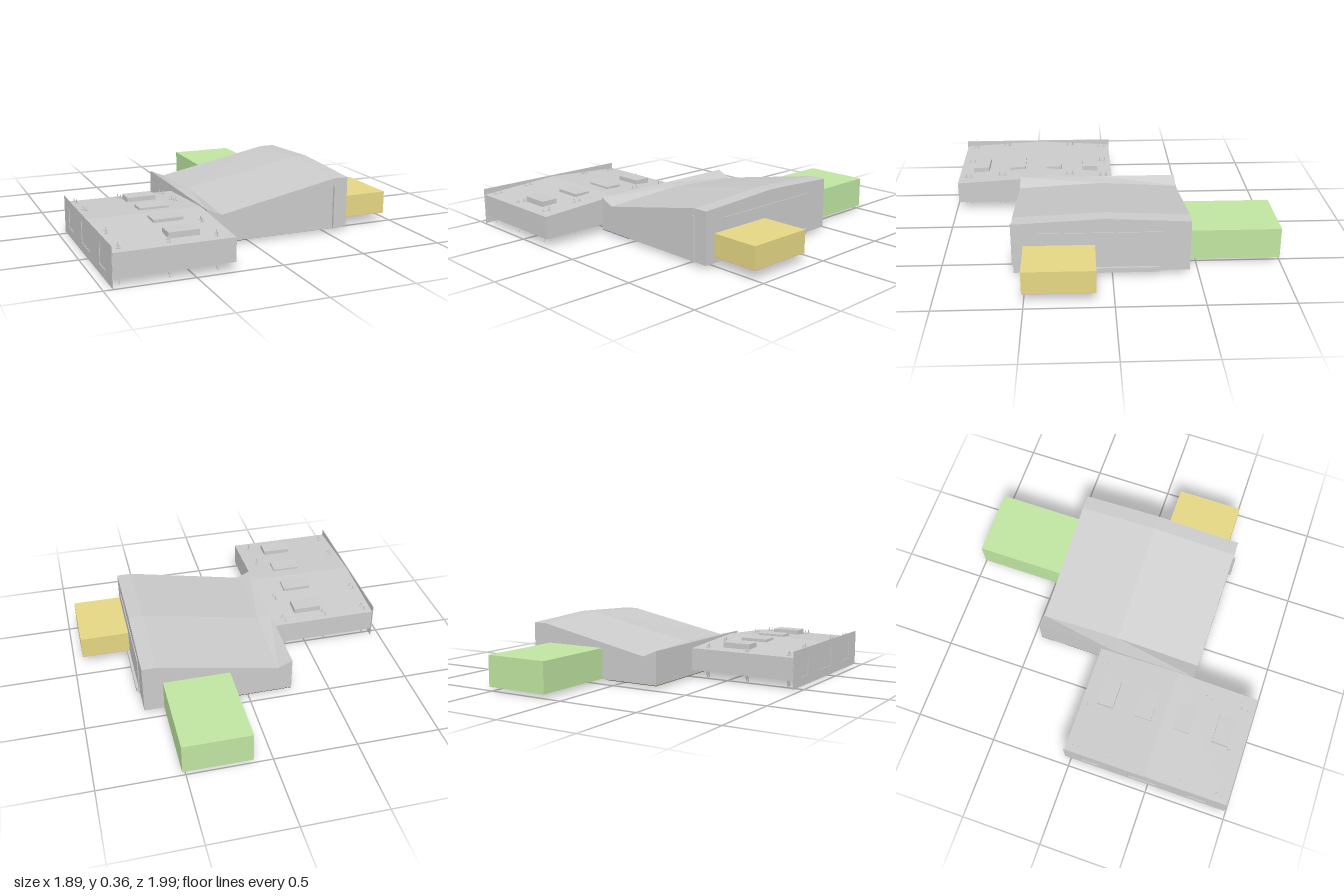
import * as THREE from 'three';

const mat = (color = 0xcccccc, side = THREE.FrontSide) =>
  new THREE.MeshStandardMaterial({ color, side, flatShading: true });
const grey = mat();

function add(parent, name, geometry, material = grey) {
  const mesh = new THREE.Mesh(geometry, material);
  mesh.name = name;
  parent.add(mesh);
  return mesh;
}

// Box given by its limits on each axis
function box(parent, name, [x0, x1], [y0, y1], [z0, z1], material) {
  const mesh = add(parent, name, new THREE.BoxGeometry(x1 - x0, y1 - y0, z1 - z0), material);
  mesh.position.set((x0 + x1) / 2, (y0 + y1) / 2, (z0 + z1) / 2);
  return mesh;
}

// Closed gabled block lofted along x; each section is [x, eave height, ridge height]
function gabledBlock(sections, base, zFront, zRidge, zBack) {
  const rings = sections.map(([x, eave, ridge]) => [
    [x, base, zFront], [x, eave, zFront], [x, ridge, zRidge], [x, eave, zBack], [x, base, zBack],
  ]);
  const pos = [];
  const tri = (a, b, c) => pos.push(...a, ...b, ...c);
  for (let s = 0; s < rings.length - 1; s++) {
    const p = rings[s], q = rings[s + 1];
    for (let i = 0; i < 5; i++) {
      const j = (i + 1) % 5;
      tri(p[i], q[i], q[j]);
      tri(p[i], q[j], p[j]);
    }
  }
  const first = rings[0], last = rings[rings.length - 1];
  for (let i = 1; i < 4; i++) {
    tri(first[0], first[i], first[i + 1]);
    tri(last[0], last[i + 1], last[i]);
  }
  const g = new THREE.BufferGeometry();
  g.setAttribute('position', new THREE.Float32BufferAttribute(pos, 3));
  g.computeVertexNormals();
  return g;
}

export function createModel() {
  const model = new THREE.Group();
  model.name = 'buildingComplex';

  // Main hall: upturned lip, valley, long rising roof and flat top end
  const hall = new THREE.Group();
  hall.name = 'mainHall';
  model.add(hall);
  add(hall, 'hallBody', gabledBlock(
    [[-0.27, 0.235, 0.235], [-0.18, 0.195, 0.225], [0.55, 0.34, 0.365], [0.64, 0.34, 0.365]],
    0.03, 0.57, 0.04, -0.45));
  box(hall, 'frontFin', [0.545, 0.555], [0.03, 0.3], [0.57, 0.585]);
  box(hall, 'sidePanel', [0.64, 0.645], [0.03, 0.28], [-0.285, 0.43]);
  box(hall, 'sideLedge', [0.64, 0.66], [0.03, 0.06], [-0.27, 0.43]);
  box(hall, 'floorPeg', [0.28, 0.287], [0.01, 0.03], [0.195, 0.205]);
  box(hall, 'floorZoneDark', [-0.27, 0.08], [0.027, 0.03], [-0.45, 0.41], mat(0x50502c));
  box(hall, 'floorZonePurple', [-0.27, -0.02], [0.027, 0.03], [0.41, 0.57], mat(0x62459c));

  // Low wing with a shallow gable
  const wing = new THREE.Group();
  wing.name = 'lowWing';
  model.add(wing);
  const zRidge = 0.47, eave = 0.197, ridge = 0.228;
  add(wing, 'wingBody', gabledBlock(
    [[-0.943, eave, ridge], [-0.27, eave, ridge]], 0.06, 0.985, zRidge, -0.037));

  // End screen wall with three window openings
  const screen = new THREE.Shape();
  screen.moveTo(-0.99, 0.01).lineTo(0.04, 0.01).lineTo(0.04, 0.235).lineTo(-0.99, 0.235);
  for (const [z0, z1, y0, y1] of [
    [0.07, 0.18, 0.065, 0.185], [0.37, 0.55, 0.065, 0.195], [0.75, 0.87, 0.065, 0.185],
  ]) {
    const hole = new THREE.Path();
    hole.moveTo(-z0, y0).lineTo(-z0, y1).lineTo(-z1, y1).lineTo(-z1, y0);
    screen.holes.push(hole);
  }
  const wall = add(wing, 'endScreen',
    new THREE.ExtrudeGeometry(screen, { depth: 0.004, bevelEnabled: false }));
  wall.rotation.y = Math.PI / 2;
  wall.position.x = -0.949;

  // Roof skylights
  for (const z of [0.107, 0.35, 0.595, 0.84]) {
    box(wing, 'skylight', [-0.615, -0.44], [0.19, 0.236], [z - 0.051, z + 0.051]);
  }

  // Paired anchors: stud and washer on the roof, tapered foot below
  const stud = new THREE.CylinderGeometry(0.003, 0.003, 0.025, 6);
  const washer = new THREE.CylinderGeometry(0.011, 0.011, 0.004, 10);
  const foot = new THREE.CylinderGeometry(0.007, 0.003, 0.05, 6);
  function anchor(x, z) {
    const t = z > zRidge ? (0.985 - z) / (0.985 - zRidge) : (z + 0.037) / (zRidge + 0.037);
    const roof = eave + (ridge - eave) * t;
    add(wing, 'anchorStud', stud).position.set(x, roof + 0.01, z);
    add(wing, 'anchorWasher', washer).position.set(x, roof + 0.004, z);
    const leg = add(wing, 'anchorFoot', foot);
    leg.position.set(x, 0.036, z);
    leg.rotation.x = -0.25;
  }
  for (const x of [-0.9, -0.63, -0.36]) {
    for (const z of [0, 0.225, 0.715, 0.94]) {
      const inner = z === 0.225 || z === 0.715;
      if (x === -0.63 && inner) continue;
      anchor(x, z);
      anchor(x + 0.008, z + (z < zRidge ? 0.037 : -0.036));
    }
  }

  // Coloured annexes
  box(model, 'sideAnnex', [0.645, 0.945], [0.07, 0.205], [0.1, 0.51], mat(0xe6d784));
  box(model, 'sideAnnexUnderside', [0.645, 0.945], [0.067, 0.07], [0.1, 0.51], mat(0xf2b0bd));
  box(model, 'backAnnex', [0.115, 0.52], [0.033, 0.22], [-1, -0.45], mat(0xc0e6a2));

  return model;
}
